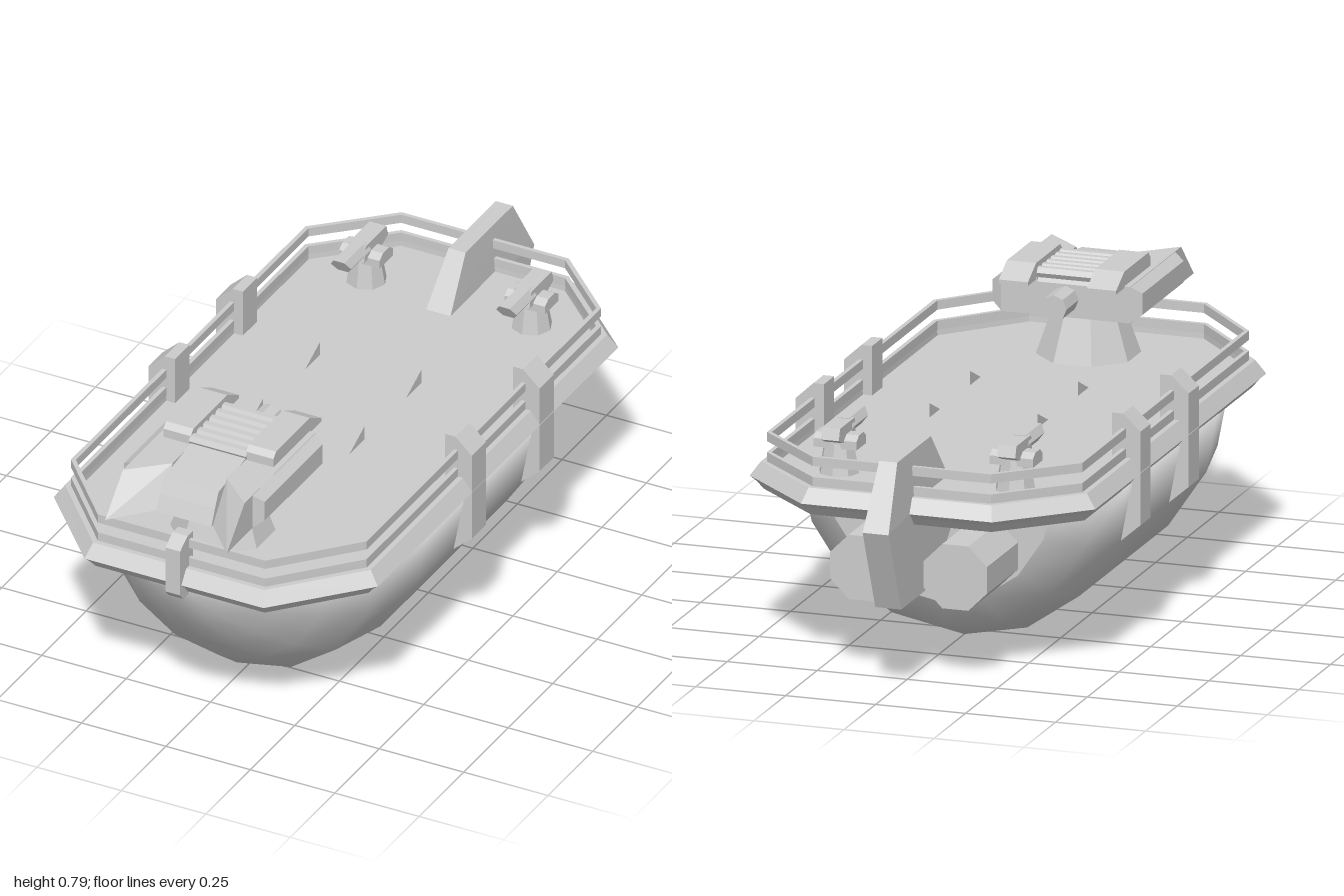
import * as THREE from 'three';

const flatMat = new THREE.MeshStandardMaterial({ color: 0xcccccc, flatShading: true });
const smoothMat = new THREE.MeshStandardMaterial({ color: 0xcccccc, side: THREE.DoubleSide });
const thinMat = new THREE.MeshStandardMaterial({ color: 0xcccccc, flatShading: true, side: THREE.DoubleSide });

// Skin a list of equal-length rings of [x, y, z]; faces are turned outward by signed volume.
function loft(rings, caps = true) {
  const n = rings[0].length;
  const pos = rings.flat(2);
  const idx = [];
  for (let r = 0; r + 1 < rings.length; r++) {
    for (let i = 0; i < n; i++) {
      const a = r * n + i, b = r * n + (i + 1) % n;
      idx.push(a, b, b + n, a, b + n, a + n);
    }
  }
  if (caps) {
    const last = (rings.length - 1) * n;
    for (let i = 1; i + 1 < n; i++) {
      idx.push(0, i + 1, i, last, last + i, last + i + 1);
    }
  }
  const p = k => new THREE.Vector3(pos[k * 3], pos[k * 3 + 1], pos[k * 3 + 2]);
  let volume = 0;
  for (let i = 0; i < idx.length; i += 3) volume += p(idx[i]).dot(p(idx[i + 1]).cross(p(idx[i + 2])));
  if (volume < 0) idx.reverse();
  const g = new THREE.BufferGeometry();
  g.setAttribute('position', new THREE.Float32BufferAttribute(pos, 3));
  g.setIndex(idx);
  g.computeVertexNormals();
  return g;
}

// Prism along x from a [z, y] profile, and prism along z from an [x, y] profile.
const prismX = (pts, x0, x1) => loft([x0, x1].map(x => pts.map(([z, y]) => [x, y, z])));
const prismZ = (pts, z0, z1) => loft([z0, z1].map(z => pts.map(([x, y]) => [x, y, z])));

// Eight-cornered deck outline, inset by d at height y.
function outline(d, y) {
  const e = 0.41 * d, w = 0.48 - d, c = 0.265 - e;
  return [[w, y, 0.72 - e], [c, y, 0.955 - d], [-c, y, 0.955 - d], [-w, y, 0.72 - e],
    [-w, y, -0.63 + e], [-c, y, -0.835 + d], [c, y, -0.835 + d], [w, y, -0.63 + e]];
}

export function createModel() {
  const model = new THREE.Group();
  const add = (name, geometry, material = flatMat, parent = model) => {
    const mesh = new THREE.Mesh(geometry, material);
    mesh.name = name;
    parent.add(mesh);
    return mesh;
  };

  // Rounded hull: one half-round section scaled toward bow and stern, creased where the stern begins
  const half = [[0.455, 0.445], [0.425, 0.29], [0.32, 0.135], [0.175, 0.035]];
  const section = [...half, [0, 0], ...half.map(([x, y]) => [-x, y]).reverse()];
  const hullRing = ([z, s]) => section.map(([x, y]) => [x * s, 0.445 - (0.445 - y) * s, z]);
  const sternStations = [[-0.495, 0.68], [-0.43, 0.89], [-0.3, 1]];
  const bowStations = [[-0.3, 1], [0.4, 1], [0.6, 0.91], [0.71, 0.72], [0.8, 0.5], [0.88, 0.26], [0.913, 0.08], [0.917, 0]];
  add('hull', loft(bowStations.map(hullRing), false), smoothMat);
  add('hullStern', loft(sternStations.map(hullRing), false), smoothMat);
  const sternRing = hullRing(sternStations[0]);
  add('sternPlate', loft([sternRing, sternRing.map(([x, y, z]) => [x, y, z + 0.002])]));

  // Bevelled rim around a slightly sunken deck
  add('deck', loft([outline(0.035, 0.44), outline(0.016, 0.463), outline(0, 0.477), outline(0.027, 0.515),
    outline(0.053, 0.515), outline(0.054, 0.5)]));

  // Two rails running all the way round
  for (const y of [0.515, 0.57]) {
    const h = y + 0.025;
    add('rail', loft([outline(0.042, y), outline(0.042, h), outline(0.054, h),
      outline(0.054, y), outline(0.042, y)], false));
  }

  // Side brackets and bow bracket
  for (const s of [1, -1]) {
    for (const z of [0.15, -0.23]) {
      const profile = [[0.4, 0.635], [0.43, 0.635], [0.479, 0.59], [0.479, 0.335], [0.425, 0.288], [0.4, 0.288]];
      add('sideBracket', prismZ(profile.map(([x, y]) => [s * x, y]), z - 0.04, z + 0.04));
    }
  }
  add('bowBracket', prismX([[0.89, 0.61], [0.92, 0.61], [0.962, 0.585], [0.962, 0.45], [0.945, 0.43], [0.89, 0.43]],
    -0.022, 0.022));

  // Small upright deck fins, each a single thin triangle
  for (const x of [-0.15, 0.15]) {
    for (const z of [0.17, -0.15]) {
      const fin = new THREE.BufferGeometry().setFromPoints([
        new THREE.Vector3(x, 0.535, z + 0.085), new THREE.Vector3(x, 0.535, z), new THREE.Vector3(x, 0.575, z)]);
      fin.computeVertexNormals();
      add('deckFin', fin, thinMat);
    }
  }

  // Tail fin, slimmer along its top edge
  const tail = prismX([[-0.53, 0.5], [-0.635, 0.635], [-0.9, 0.635], [-1, 0.465], [-0.9, 0.235],
    [-0.65, 0.235], [-0.485, 0.37], [-0.485, 0.44]], -0.036, 0.036);
  const tp = tail.attributes.position;
  for (let i = 0; i < tp.count; i++) if (tp.getY(i) > 0.6) tp.setX(i, tp.getX(i) * 0.7);
  add('tailFin', tail);

  // Twin engine nozzles
  for (const x of [-0.13, 0.13]) {
    const nozzle = new THREE.CylinderGeometry(0.095, 0.095, 0.32, 8);
    nozzle.rotateY(Math.PI / 8).rotateX(Math.PI / 2);
    add('nozzle', nozzle).position.set(x, 0.288, -0.58);
  }

  // Bow turret
  const turret = new THREE.Group();
  turret.name = 'bowTurret';
  model.add(turret);
  const pedestal = new THREE.CylinderGeometry(0.085, 0.142, 0.16, 8);
  pedestal.rotateY(Math.PI / 8);
  add('turretPedestal', pedestal, flatMat, turret).position.set(0, 0.57, 0.68);
  add('turretCore', prismX([[0.5, 0.645], [0.5, 0.735], [0.52, 0.75], [0.71, 0.75], [0.86, 0.73], [0.88, 0.69], [0.9, 0.645]],
    -0.082, 0.082), flatMat, turret);
  for (let i = 0; i < 6; i++) {
    const slat = new THREE.CylinderGeometry(0.016, 0.016, 0.17, 6);
    slat.rotateZ(Math.PI / 2);
    add('turretSlat', slat, flatMat, turret).position.set(0, 0.757, 0.52 + i * 0.035);
  }
  const rearBarrel = new THREE.CylinderGeometry(0.036, 0.036, 0.14, 8);
  rearBarrel.rotateX(Math.PI / 2);
  add('rearBarrel', rearBarrel, flatMat, turret).position.set(0, 0.695, 0.475);
  for (const s of [1, -1]) {
    // Each pod sweeps forward to a pointed outer corner
    const ring = (x, z0, y0, y1, zLow, zHigh) => [[s * x, y0, z0], [s * x, y1, z0], [s * x, y1, zHigh], [s * x, y0, zLow]];
    add('turretPod', loft([ring(0.08, 0.5, 0.645, 0.745, 0.89, 0.81), ring(0.18, 0.5, 0.645, 0.745, 1, 0.9)]),
      flatMat, turret);
    add('podPlate', loft([ring(0.178, 0.5, 0.645, 0.745, 0.855, 0.855), ring(0.208, 0.515, 0.667, 0.725, 0.84, 0.84)]),
      flatMat, turret);
    add('podTop', prismX([[0.705, 0.74], [0.705, 0.77], [0.69, 0.785], [0.5, 0.785], [0.435, 0.75], [0.435, 0.74]],
      s * 0.082, s * 0.163), flatMat, turret);
  }

  // Two small stern guns
  for (const x of [-0.245, 0.245]) {
    const gun = new THREE.Group();
    gun.name = 'sternGun';
    gun.position.set(x, 0, -0.59);
    model.add(gun);
    add('gunPedestal', new THREE.CylinderGeometry(0.04, 0.056, 0.09, 8), flatMat, gun).position.y = 0.54;
    add('gunYoke', prismX([[-0.035, 0.572], [-0.035, 0.595], [-0.015, 0.608], [0.02, 0.608], [0.04, 0.595], [0.04, 0.572]],
      -0.06, 0.06), flatMat, gun);
    add('gunBody', prismX([[-0.075, 0.605], [-0.065, 0.636], [0.05, 0.636], [0.06, 0.59], [-0.04, 0.59]],
      -0.025, 0.025), flatMat, gun);
    const barrel = prismZ([[-0.03, 0.617], [-0.016, 0.597], [0.016, 0.597], [0.03, 0.617], [0.016, 0.638], [-0.016, 0.638]],
      0.03, 0.155);
    // Muzzle cut back along its underside
    const bp = barrel.attributes.position;
    for (let i = 0; i < bp.count; i++) if (bp.getZ(i) > 0.1) bp.setZ(i, 0.155 - (0.638 - bp.getY(i)) * 0.6);
    add('gunBarrel', barrel, flatMat, gun);
  }
  return model;
}
